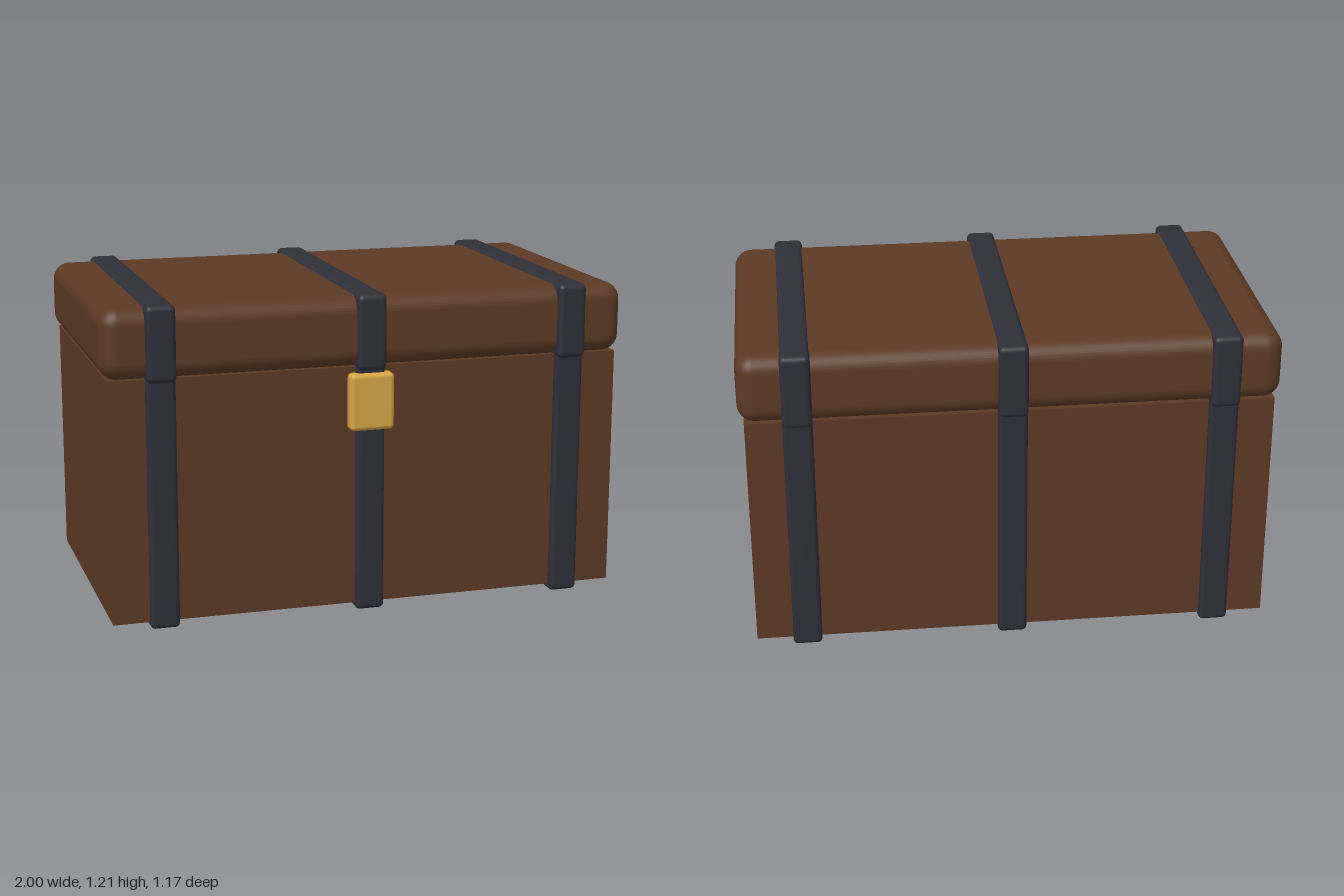
import * as THREE from 'three';
import { RoundedBoxGeometry } from 'three/addons/geometries/RoundedBoxGeometry.js';

export function createModel() {
  const wood = new THREE.MeshStandardMaterial({ color: 0x5c3924 });
  wood.name = 'brown wood';
  const iron = new THREE.MeshStandardMaterial({ color: 0x2e2f38 });
  iron.name = 'dark iron';
  const brass = new THREE.MeshStandardMaterial({ color: 0xd4a444 });
  brass.name = 'brass';

  const chest = new THREE.Group();
  chest.name = 'chest';

  // Box from its width, vertical span, depth and edge radius (0 = sharp)
  function addBox(parent, name, material, width, y0, y1, depth, radius, x = 0, z = 0) {
    const height = y1 - y0;
    const geometry = radius > 0
      ? new RoundedBoxGeometry(width, height, depth, 5, radius)
      : new THREE.BoxGeometry(width, height, depth);
    const mesh = new THREE.Mesh(geometry, material);
    mesh.name = name;
    mesh.position.set(x, (y0 + y1) / 2, z);
    parent.add(mesh);
  }

  // Sharp-edged body and soft-edged lid
  addBox(chest, 'body', wood, 1.954, 0.025, 0.937, 1.086, 0);
  addBox(chest, 'lid', wood, 2, 0.935, 1.198, 1.13, 0.065);

  // Iron straps wrapping the body and, slightly prouder, the lid
  const straps = new THREE.Group();
  straps.name = 'straps';
  chest.add(straps);
  for (const x of [-0.785, 0, 0.785]) {
    addBox(straps, 'bodyStrap', iron, 0.11, 0, 0.95, 1.132, 0.018, x);
    addBox(straps, 'lidStrap', iron, 0.11, 0.927, 1.208, 1.172, 0.02, x);
  }

  // Lock plate on the front strap
  addBox(chest, 'lock', brass, 0.17, 0.7, 0.915, 0.06, 0.018, 0, 0.557);

  return chest;
}
